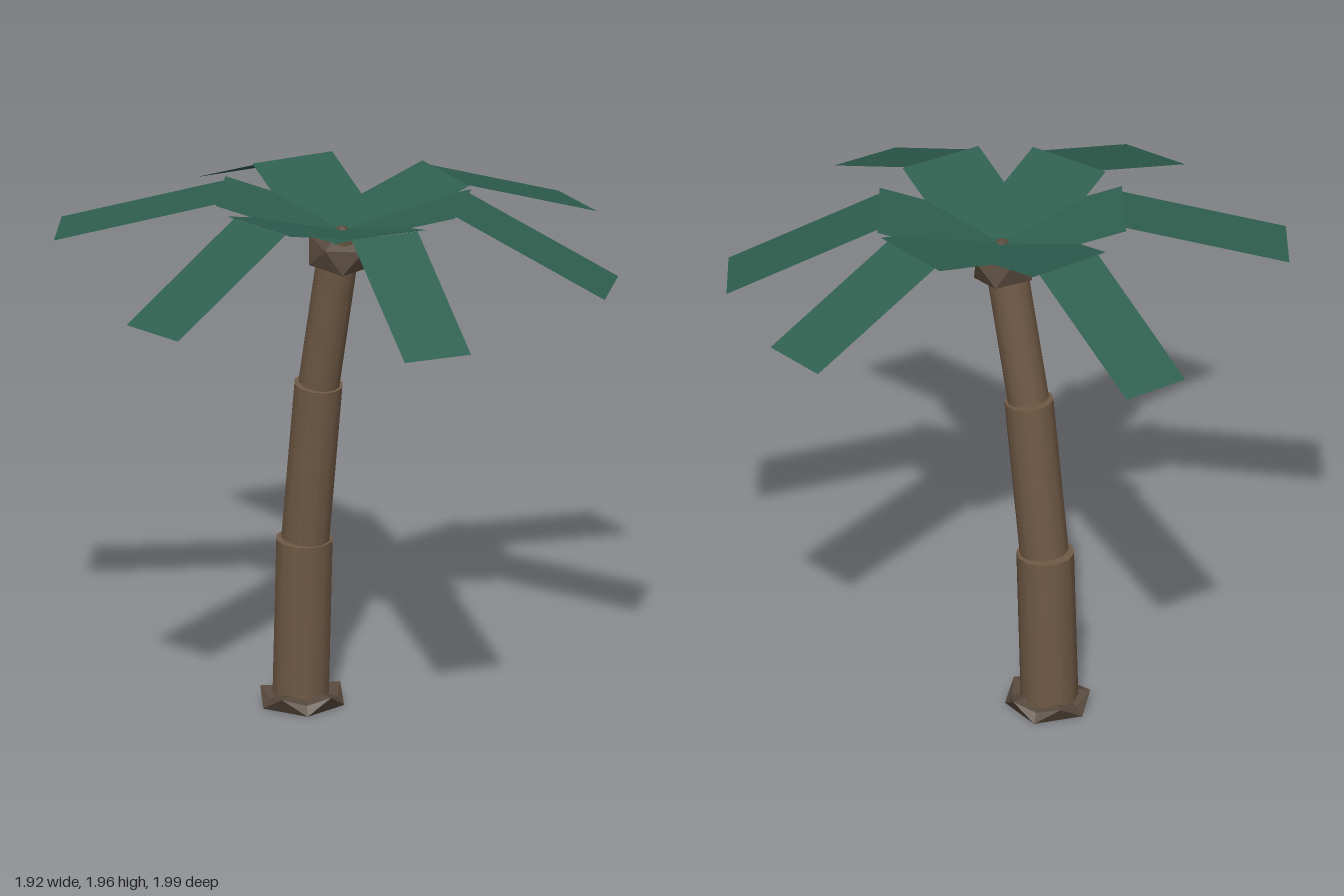
import * as THREE from 'three';
import { ConvexGeometry } from 'three/addons/geometries/ConvexGeometry.js';

const bark = new THREE.MeshStandardMaterial({ name: 'bark', color: 0x705a45 });
const darkBark = new THREE.MeshStandardMaterial({ name: 'dark bark', color: 0x56483c });
const leaf = new THREE.MeshStandardMaterial({ name: 'leaf green', color: 0x2f6050, side: THREE.DoubleSide });

const RAD = Math.PI / 180;
const polar = (deg, r, y) => new THREE.Vector3(r * Math.cos(deg * RAD), y, r * Math.sin(deg * RAD));

function addMesh(parent, name, geometry, material) {
  const mesh = new THREE.Mesh(geometry, material);
  mesh.name = name;
  parent.add(mesh);
  return mesh;
}

// Straight trunk section between two points in the x-y plane
function trunkSection(parent, name, x0, y0, x1, y1, radius) {
  const a = new THREE.Vector3(x0, y0, 0.005), b = new THREE.Vector3(x1, y1, 0.005);
  const mesh = addMesh(parent, name, new THREE.CylinderGeometry(radius, radius, a.distanceTo(b), 12), bark);
  mesh.position.addVectors(a, b).multiplyScalar(0.5);
  mesh.rotation.z = -Math.atan2(x1 - x0, y1 - y0);
}

// Jagged collar: flat pentagon below, five raised points above
function collarGeometry() {
  const tris = [];
  const centre = new THREE.Vector3(0, 0.06, 0), floor = new THREE.Vector3(0, 0, 0);
  for (let k = 0; k < 5; k++) {
    const a = 180 + 72 * k;
    const b0 = polar(a, 0.152, 0), b1 = polar(a + 72, 0.152, 0);
    const d0 = polar(a, 0.128, 0.032), d1 = polar(a + 72, 0.128, 0.032);
    const s = polar(a + 36, 0.15, 0.056);
    tris.push(b1, b0, s, b0, d0, s, b1, s, d1, centre, s, d0, centre, d1, s, floor, b0, b1);
  }
  const geometry = new THREE.BufferGeometry().setFromPoints(tris);
  geometry.computeVertexNormals();
  return geometry;
}

// Faceted knot under the leaves
function crownGeometry() {
  const points = [new THREE.Vector3(0, -0.085, 0), new THREE.Vector3(0, 0.1, 0)];
  for (let k = 0; k < 5; k++) {
    points.push(polar(180 + 72 * k, 0.115, -0.045), polar(216 + 72 * k, 0.115, 0.04));
  }
  return new ConvexGeometry(points);
}

// Flat leaf panel running outward along x, from (r0, y0) to (r1, y1)
function leafPanel(parent, name, width, r0, y0, r1, y1) {
  const length = Math.hypot(r1 - r0, y1 - y0);
  const geometry = new THREE.PlaneGeometry(length, width)
    .rotateX(-Math.PI / 2)
    .translate(length / 2, 0, 0)
    .rotateZ(Math.atan2(y1 - y0, r1 - r0))
    .translate(r0, y0, 0);
  addMesh(parent, name, geometry, leaf);
}

export function createModel() {
  const tree = new THREE.Group();
  tree.name = 'palmTree';

  // Trunk, leaning further with each section
  trunkSection(tree, 'lowerTrunk', -0.2, 0.01, -0.18, 0.622, 0.103);
  trunkSection(tree, 'middleTrunk', -0.175, 0.628, -0.108, 1.224, 0.088);
  trunkSection(tree, 'upperTrunk', -0.105, 1.229, 0.008, 1.825, 0.075);

  addMesh(tree, 'baseCollar', collarGeometry(), darkBark).position.set(-0.19, 0, 0.008);
  const crown = addMesh(tree, 'crownKnot', crownGeometry(), darkBark);
  crown.position.set(-0.002, 1.752, 0.003);
  crown.rotation.z = -0.15;

  // Fronds: direction in degrees, tip radius, tip height
  const fronds = [
    [-79, 0.99, 1.745], [-35.2, 0.97, 1.68], [23.5, 0.976, 1.68],
    [86.8, 0.987, 1.705], [140.2, 1.015, 1.795], [199.5, 0.987, 1.72],
  ];
  for (const [angle, tipRadius, tipHeight] of fronds) {
    const frond = new THREE.Group();
    frond.name = 'frond';
    frond.position.set(0.01, 0, 0);
    frond.rotation.y = -angle * RAD;
    leafPanel(frond, 'innerLeaf', 0.31, 0, 1.832, 0.435, 1.96);
    leafPanel(frond, 'outerLeaf', 0.25, 0.43, 1.957, tipRadius, tipHeight);
    tree.add(frond);
  }
  return tree;
}
